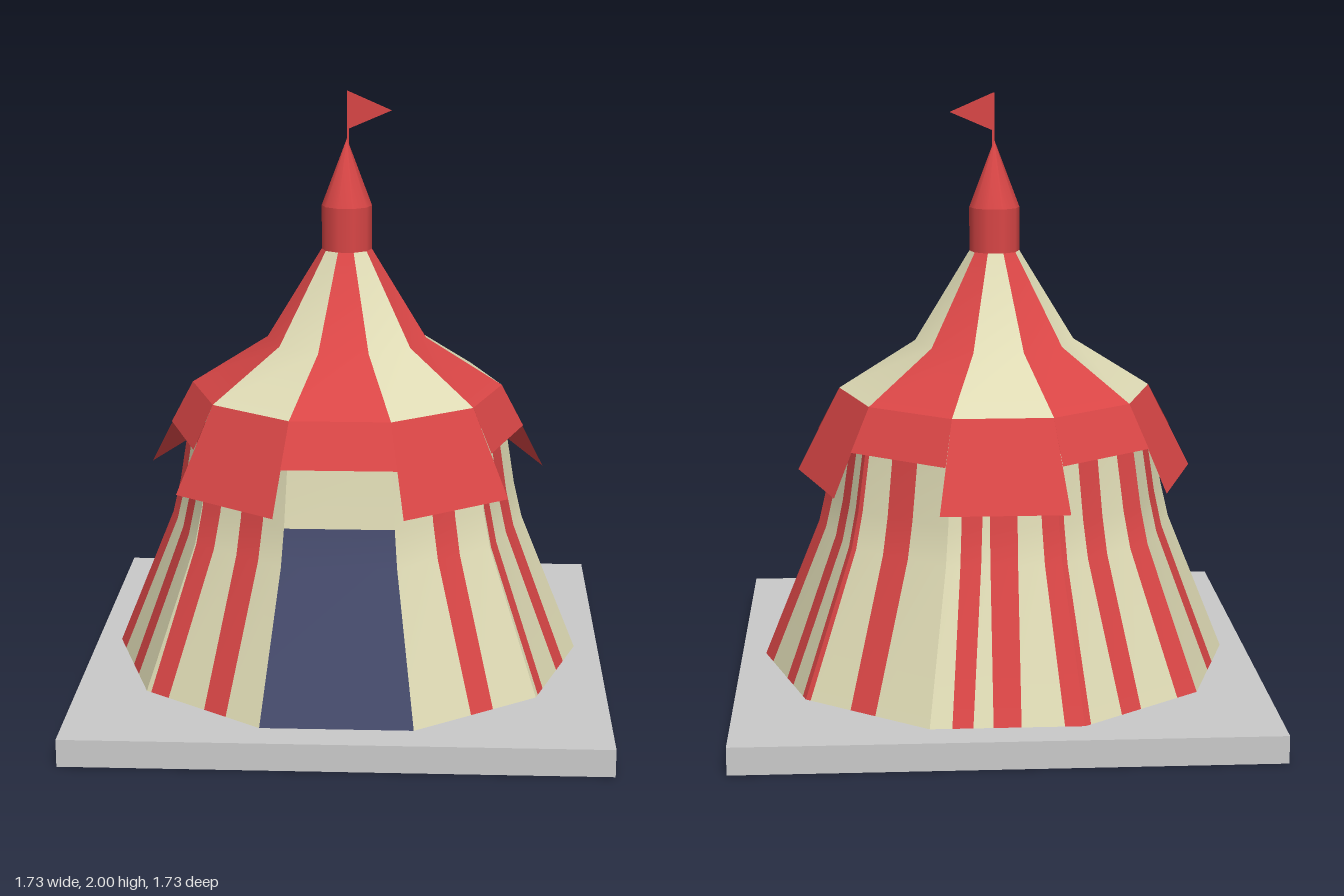
import * as THREE from 'three';
import { mergeGeometries } from 'three/addons/utils/BufferGeometryUtils.js';

const SIDES = 10;
const WALL = [[0.785, 0.09], [0.595, 0.56], [0.567, 0.68], [0.535, 0.88], [0.52, 1.02]];
const ROOF = [[0.52, 1.02], [0.265, 1.18], [0.08, 1.485]];
const DOOR_SIDE = 9;

// Red stripes of each wall side, as start and end fractions at the ground
const STRIPES = [
  [[0.46, 0.64]],
  [[0.05, 0.17], [0.52, 0.70]],
  [[0, 0.19], [0.55, 0.70], [0.93, 1]],
  [[0, 0.04], [0.37, 0.57]],
  [[0.145, 0.28], [0.41, 0.59], [0.87, 1]],
  [[0, 0.05], [0.32, 0.49], [0.82, 1]],
  [[0.45, 0.63]],
  [[0, 0.18], [0.5, 0.69]],
  [[0.04, 0.2], [0.52, 0.71]],
  [],
];

const mat = (name, color) => {
  const m = new THREE.MeshStandardMaterial({ color, side: THREE.DoubleSide });
  m.name = name;
  return m;
};

// Point on a side of the decagon: side 0 lies just left of the door
function sidePoint(side, t, r, y) {
  const a = THREE.MathUtils.degToRad(72 - 36 * side);
  const b = a - Math.PI / 5;
  return [
    r * THREE.MathUtils.lerp(Math.cos(a), Math.cos(b), t), y,
    r * THREE.MathUtils.lerp(Math.sin(a), Math.sin(b), t),
  ];
}

// Band up one side; each ring is [radius, height, from, to]
function strip(side, rings) {
  const pos = [], idx = [];
  rings.forEach(([r, y, t0 = 0, t1 = 1], i) => {
    pos.push(...sidePoint(side, t0, r, y), ...sidePoint(side, t1, r, y));
    if (i) {
      const k = 2 * i;
      idx.push(k - 2, k - 1, k + 1, k - 2, k + 1, k);
    }
  });
  const g = new THREE.BufferGeometry();
  g.setAttribute('position', new THREE.Float32BufferAttribute(pos, 3));
  g.setIndex(idx);
  g.computeVertexNormals();
  return g;
}

// Stripes keep nearly the same width while the wall narrows
function stripeEdges([s0, s1], r) {
  const mid = (s0 + s1) / 2;
  const half = ((s1 - s0) / 2) * (WALL[0][0] / r);
  return [
    s0 === 0 ? 0 : Math.max(0, mid - half),
    s1 === 1 ? 1 : Math.min(1, mid + half),
  ];
}

export function createModel() {
  const model = new THREE.Group();
  const red = mat('red canvas', 0xd94646);
  const cream = mat('cream canvas', 0xdedab4);
  const navy = mat('navy doorway', 0x454a6b);
  const grey = mat('grey base', 0xcacaca);

  const add = (name, geometry, material) => {
    const mesh = new THREE.Mesh(geometry, material);
    mesh.name = name;
    model.add(mesh);
    return mesh;
  };

  // Square base, open underneath
  const size = 1.73, h = 0.09;
  const slab = [new THREE.PlaneGeometry(size, size).rotateX(-Math.PI / 2).translate(0, h, 0)];
  for (let i = 0; i < 4; i++) {
    slab.push(new THREE.PlaneGeometry(size, h).translate(0, h / 2, size / 2).rotateY(i * Math.PI / 2));
  }
  add('base', mergeGeometries(slab), grey);

  // Striped walls, roof panels and valance flaps
  const redWall = [], creamWall = [], redRoof = [], creamRoof = [], valance = [];
  for (let s = 0; s < SIDES; s++) {
    if (s !== DOOR_SIDE) {
      const edges = WALL.map(([r]) => [0, ...STRIPES[s].flatMap((p) => stripeEdges(p, r)), 1]);
      for (let k = 0; k < edges[0].length - 1; k++) {
        if (edges[0][k + 1] - edges[0][k] < 1e-4) continue;
        const rings = WALL.map(([r, y], i) => [r, y, edges[i][k], edges[i][k + 1]]);
        (k % 2 ? redWall : creamWall).push(strip(s, rings));
      }
    }
    (s % 2 ? redRoof : creamRoof).push(strip(s, ROOF));
    // Flaps alternate long and short
    valance.push(strip(s, [s % 2 ? [0.594, 0.88] : [0.662, 0.74], [0.52, 1.02]]));
  }
  creamWall.push(strip(DOOR_SIDE, WALL.slice(2)));
  add('wallStripes', mergeGeometries(redWall), red);
  add('wallCanvas', mergeGeometries(creamWall), cream);
  add('doorway', strip(DOOR_SIDE, WALL.slice(0, 3)), navy);
  add('redRoofPanels', mergeGeometries(redRoof), red);
  add('creamRoofPanels', mergeGeometries(creamRoof), cream);
  add('valance', mergeGeometries(valance), red);

  // Turret with pointed cap
  add('turret', new THREE.CylinderGeometry(0.083, 0.083, 0.145, SIDES, 1, true).rotateY(Math.PI / 2), red)
    .position.y = 1.5525;
  add('turretCap', new THREE.ConeGeometry(0.083, 0.22, SIDES, 1, true).rotateY(Math.PI / 2), red)
    .position.y = 1.735;

  // Flat pennant with its pole
  const flag = new THREE.Shape([
    [0, 1.82], [0.007, 1.82], [0.007, 1.877], [0.147, 1.937], [0.003, 2], [0, 2],
  ].map(([x, y]) => new THREE.Vector2(x, y)));
  add('pennant', new THREE.ShapeGeometry(flag), red);

  return model;
}
